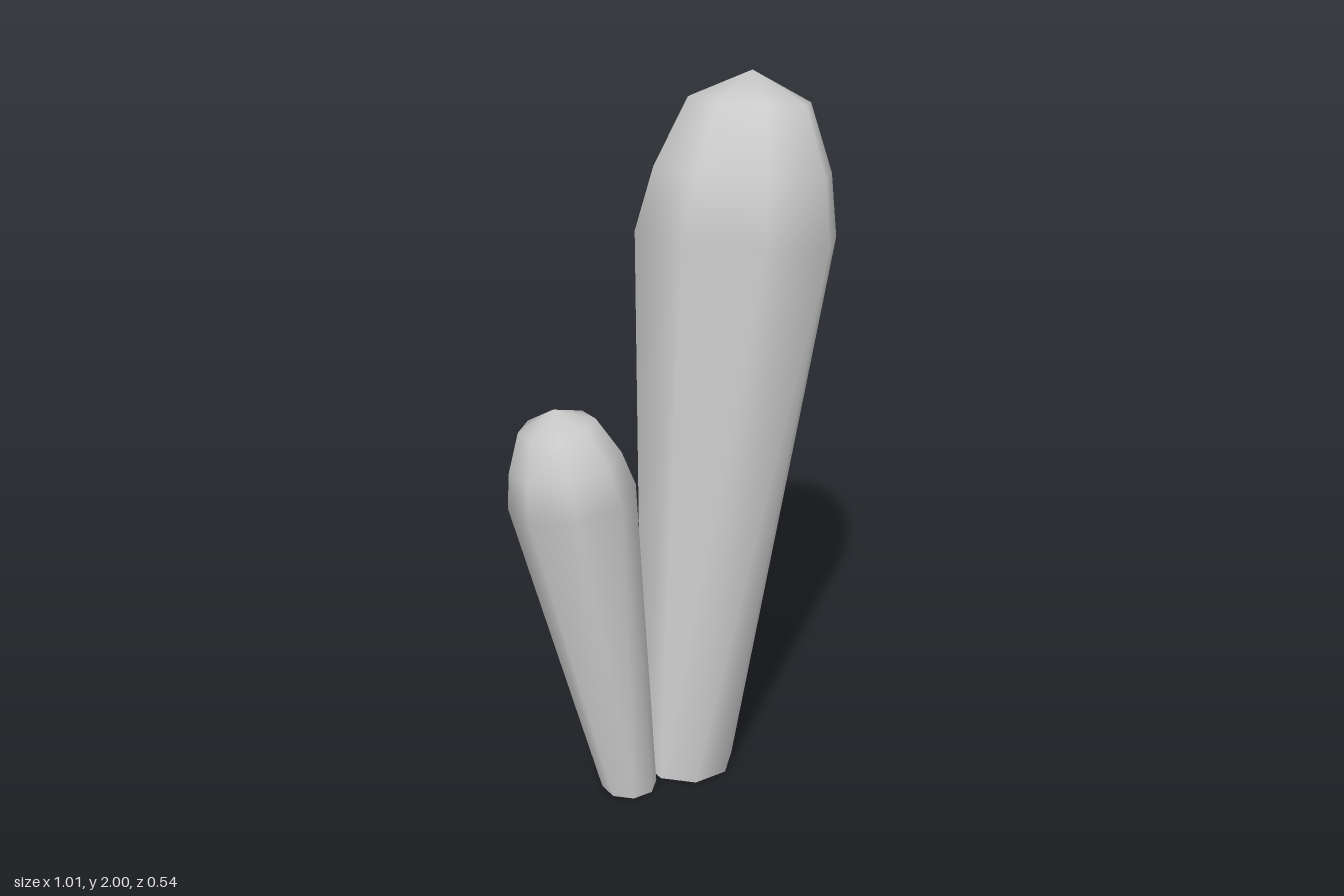
import * as THREE from 'three';

const SIDES = 8;

// Points of one octagonal ring, tilted so it sits across the leaning axis
function ringPoints({ c, r, turn, tilt = [0, 0] }) {
  const points = [];
  for (let j = 0; j < SIDES; j++) {
    const a = THREE.MathUtils.degToRad(turn) + (j / SIDES) * Math.PI * 2;
    const dx = r * Math.cos(a), dz = r * Math.sin(a);
    points.push([c[0] + dx, c[1] + tilt[0] * dx + tilt[1] * dz, c[2] + dz]);
  }
  return points;
}

function meshFrom(points, index, name, material) {
  const geometry = new THREE.BufferGeometry();
  geometry.setAttribute('position', new THREE.Float32BufferAttribute(points.flat(), 3));
  geometry.setIndex(index);
  geometry.computeVertexNormals();
  const mesh = new THREE.Mesh(geometry, material);
  mesh.name = name;
  return mesh;
}

// A leaning stalk: narrow flat foot, widening shaft, rounded tip
function createStalk(name, rings, apex, material) {
  const stalk = new THREE.Group();
  stalk.name = name;

  // Smooth skin lofted through the rings and closed at the tip
  const points = rings.flatMap(ringPoints);
  const index = [];
  const last = (rings.length - 1) * SIDES;
  const tip = points.push(apex) - 1;
  for (let j = 0; j < SIDES; j++) {
    const k = (j + 1) % SIDES;
    for (let i = 0; i < last; i += SIDES) {
      index.push(i + j, i + SIDES + j, i + k);
      index.push(i + k, i + SIDES + j, i + SIDES + k);
    }
    index.push(last + j, tip, last + k);
  }
  stalk.add(meshFrom(points, index, name + 'Body', material));

  // Flat underside
  const foot = ringPoints(rings[0]);
  foot.push(rings[0].c);
  const footIndex = [];
  for (let j = 0; j < SIDES; j++) footIndex.push(SIDES, j, (j + 1) % SIDES);
  stalk.add(meshFrom(foot, footIndex, name + 'Foot', material));
  return stalk;
}

export function createModel() {
  const model = new THREE.Group();
  model.name = 'stalkPair';
  const material = new THREE.MeshStandardMaterial({ color: 0xcccccc });

  // Tall stalk, leaning to its left and back
  const tall = { turn: 20.3, tilt: [-0.125, 0.07] };
  model.add(createStalk('tallStalk', [
    { c: [0.005, 0, 0.105], r: 0.136, turn: 22.5 },
    { c: [0.23, 1.56, 0], r: 0.287, ...tall },
    { c: [0.255, 1.735, -0.008], r: 0.252, ...tall },
    { c: [0.28, 1.922, -0.02], r: 0.172, ...tall },
  ], [0.29, 2.0, -0.025], material));

  // Short stalk, leaning to its right and back
  const short = { turn: 25.5, tilt: [0.13, 0.07] };
  model.add(createStalk('shortStalk', [
    { c: [-0.211, 0, 0.127], r: 0.08, turn: 22.5 },
    { c: [-0.342, 0.93, 0.058], r: 0.174, ...short },
    { c: [-0.356, 1.03, 0.051], r: 0.152, ...short },
    { c: [-0.374, 1.138, 0.042], r: 0.104, ...short },
  ], [-0.382, 1.185, 0.039], material));

  return model;
}
